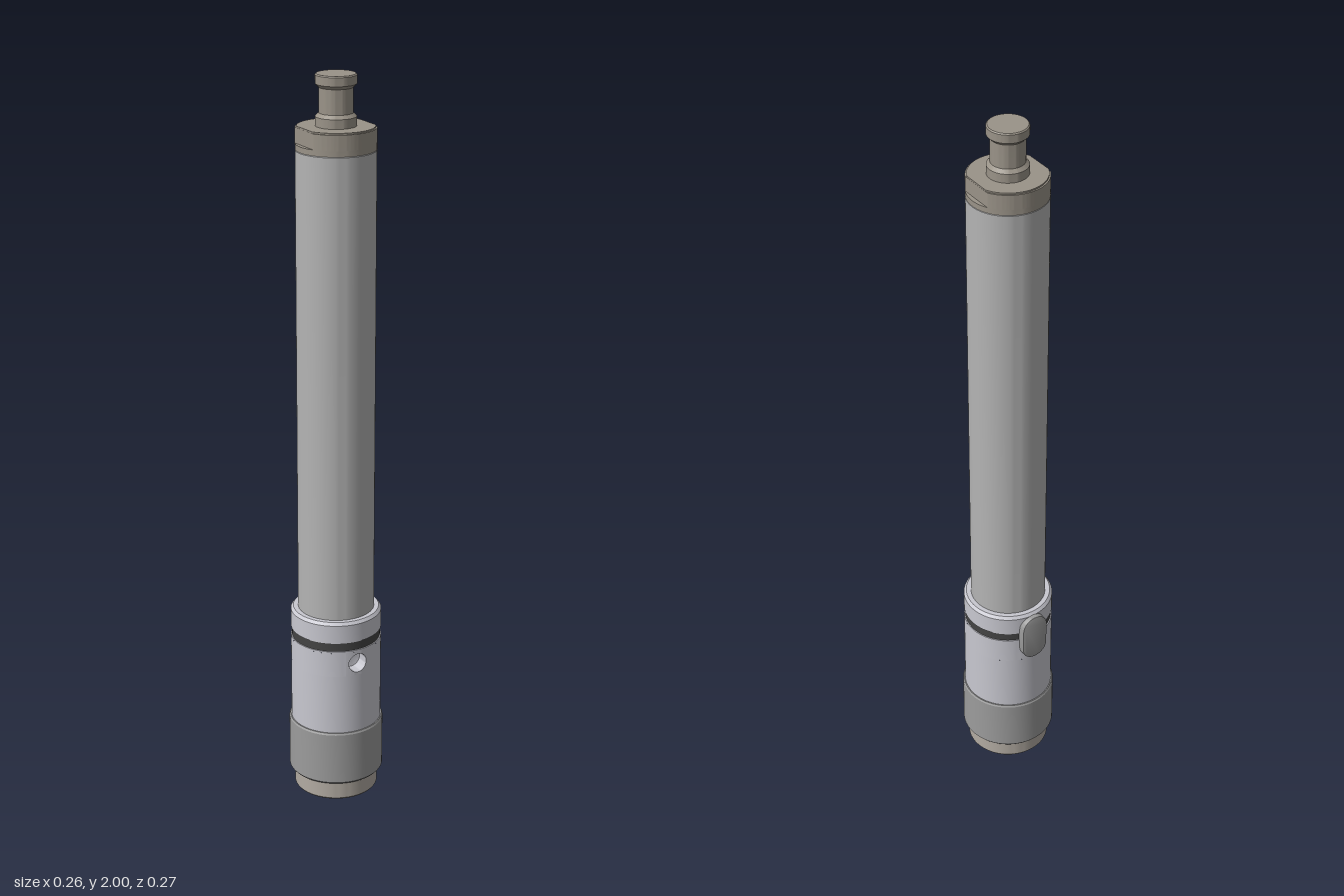
import * as THREE from 'three';
import { toCreasedNormals } from 'three/addons/utils/BufferGeometryUtils.js';

const SEG = 72;
const SLEEVE_R = 0.124;
const HOLE_ANGLE = 0.34; // the port faces this way, the button sits opposite
const HOLE_Y = 0.42;
const PATCH = 0.035; // half size of the sleeve panel around the port

const paint = (color) => new THREE.MeshStandardMaterial({ color });
const bronze = paint(0x9a9388);
const tubeGrey = paint(0xb4b4b4);
const silver = paint(0xc8c8d0);
const ringGrey = paint(0x9c9c9c);
const footGrey = paint(0xb2aba2);
const black = paint(0x444444);

function createPart(group, name, geometry, material) {
  const mesh = new THREE.Mesh(toCreasedNormals(geometry, 0.5), material);
  mesh.name = name;
  group.add(mesh);
  return mesh;
}

// Turned part from [radius, height] pairs, listed bottom to top on the outside
function turned(points, start = 0, length = Math.PI * 2) {
  return new THREE.LatheGeometry(points.map(([r, y]) => new THREE.Vector2(r, y)), SEG, start, length);
}

// Curved panel with a round blind hole, built as rings from the square rim inward
function portPanel(radius, floorZ) {
  const n = 48, rows = 4, pos = [], index = [];
  const ring = (place) => {
    for (let i = 0; i <= n; i++) pos.push(...place((i / n) * Math.PI * 2));
  };
  const surface = (x, y) => [x, y, Math.sqrt(SLEEVE_R ** 2 - x * x)];
  for (let k = 0; k <= rows; k++) {
    ring((t) => {
      const c = Math.cos(t), s = Math.sin(t);
      const rim = PATCH / Math.max(Math.abs(c), Math.abs(s));
      const d = THREE.MathUtils.lerp(rim, radius, k / rows);
      return surface(d * c, d * s);
    });
  }
  ring((t) => [radius * Math.cos(t), radius * Math.sin(t), floorZ]);
  ring(() => [0, 0, floorZ - 0.006]);
  for (let k = 0; k < rows + 2; k++) {
    for (let i = 0; i < n; i++) {
      const a = k * (n + 1) + i, d = a + n + 1;
      index.push(a, a + 1, d);
      if (k < rows + 1) index.push(a + 1, d + 1, d);
    }
  }
  const geometry = new THREE.BufferGeometry();
  geometry.setAttribute('position', new THREE.Float32BufferAttribute(pos, 3));
  geometry.setIndex(index);
  return geometry;
}

// Round disc with two opposite flats
function flattedDisc(radius, flatDistance, angle, height) {
  const half = Math.acos(flatDistance / radius);
  const shape = new THREE.Shape();
  shape.absarc(0, 0, radius, angle + half, angle + Math.PI - half, false);
  shape.absarc(0, 0, radius, angle + Math.PI + half, angle + Math.PI * 2 - half, false);
  shape.closePath();
  return new THREE.ExtrudeGeometry(shape, { depth: height, bevelEnabled: false, curveSegments: 32 })
    .rotateX(-Math.PI / 2);
}

export function createModel() {
  const model = new THREE.Group();
  model.name = 'cylinderAssembly';
  const body = new THREE.Group();
  body.name = 'body';
  body.position.z = 0.005;
  model.add(body);

  // Foot with a blind bore in its underside
  createPart(body, 'foot', turned([
    [0, 0.15], [0.052, 0.15], [0.052, 0], [0.112, 0], [0.115, 0.004], [0.115, 0.07],
  ]), footGrey);

  // Wide lower ring
  createPart(body, 'lowerRing', turned([
    [0.1, 0.056], [0.126, 0.056], [0.13, 0.061], [0.13, 0.208], [0.127, 0.213], [0.11, 0.213],
  ]), ringGrey);

  // Sleeve, left open where the port panel fits
  const gap = Math.asin(PATCH / SLEEVE_R);
  const low = HOLE_Y - PATCH, high = HOLE_Y + PATCH;
  createPart(body, 'sleeveLower', turned([[SLEEVE_R, 0.21], [SLEEVE_R, low]]), silver);
  createPart(body, 'sleeveMiddle', turned([[SLEEVE_R, low], [SLEEVE_R, high]],
    HOLE_ANGLE + gap, Math.PI * 2 - gap * 2), silver);
  createPart(body, 'sleevePort', portPanel(0.027, 0.085), silver)
    .geometry.translate(0, HOLE_Y, 0).rotateY(HOLE_ANGLE);
  createPart(body, 'sleeveShoulder', turned([[SLEEVE_R, high], [SLEEVE_R, 0.46], [0.115, 0.46]]), silver);
  createPart(body, 'sealBand', turned([[0.121, 0.458], [0.121, 0.487]]), black);
  createPart(body, 'sleeveCap', turned([
    [0.115, 0.485], [SLEEVE_R, 0.485], [SLEEVE_R, 0.537], [0.117, 0.545], [0.1, 0.545],
  ]), silver);

  // Oblong button on the back of the sleeve
  const slot = new THREE.Shape();
  slot.absarc(0, 0.033, 0.036, 0, Math.PI, false);
  slot.absarc(0, -0.033, 0.036, Math.PI, Math.PI * 2, false);
  slot.closePath();
  const button = createPart(body, 'button', new THREE.ExtrudeGeometry(slot, {
    depth: 0.031, bevelThickness: 0.003, bevelSize: 0.003, bevelSegments: 2, curveSegments: 20,
  }).translate(0, 0, 0.103), ringGrey);
  button.position.y = 0.466;
  button.rotation.y = HOLE_ANGLE + Math.PI;

  // Long main tube
  createPart(body, 'mainTube', turned([[0.104, 0.5], [0.104, 1.808], [0.101, 1.812], [0, 1.812]]), tubeGrey);

  // End collar with two wrench flats
  createPart(body, 'collarBase', turned([[0.09, 1.81], [0.104, 1.81], [0.104, 1.825], [0, 1.825]]), bronze);
  createPart(body, 'collarFlats', flattedDisc(0.104, 0.092, 0.35, 0.04), bronze).position.y = 1.825;
  createPart(body, 'collarTop', flattedDisc(0.1, 0.0915, 0.35, 0.004), bronze).position.y = 1.865;

  // Necked stud at the top
  createPart(body, 'stud', turned([
    [0.053, 1.868], [0.053, 1.893], [0.044, 1.902], [0.044, 1.966],
    [0.053, 1.975], [0.053, 1.997], [0.05, 2], [0, 2],
  ]), bronze);

  return model;
}
